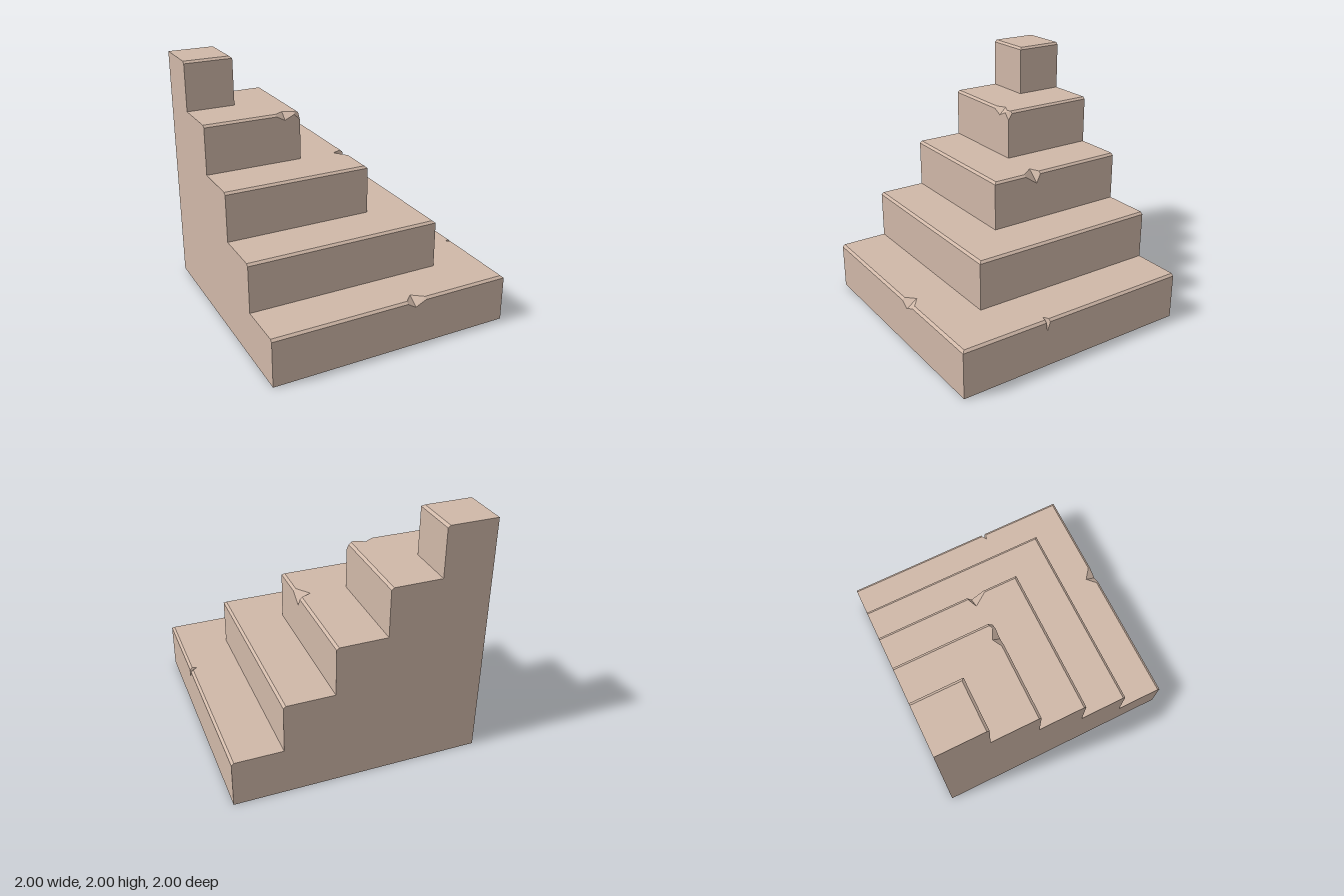
import * as THREE from 'three';

const STEPS = 5, RUN = 0.4, BEVEL = 0.02, DROP = 0.017;
const edge = i => 1 - RUN * i;                       // outer face of a step, same on x and z
const topOf = i => (i < 0 ? 0 : i === STEPS - 1 ? 1.995 : 0.39 + 0.4 * i);

// Chips in the step edges: [start, peak, end, depth inward, depth down]
const chips = {
  0: { front: [[0.11, 0.18, 0.27, 0.09, 0.06]], right: [[0.285, 0.275, 0.25, 0.06, 0.09]] },
  2: { right: [[-0.09, -0.2, -0.235, 0.1, 0.09]] },
  3: { front: [[-0.4, -0.33, -0.25, 0.06, 0.055]], corner: [0.027, 0.07] },
};

// Stations [position, inset, drop] along one edge
const stations = (list = []) => list.flatMap(([a, p, b, inset, drop]) =>
  [[a, BEVEL, DROP], [p, inset, drop], [b, BEVEL, DROP]]);

// Flat polygon facing along one axis ('x', 'y' or 'z')
function polygon(points, axis, sign) {
  const [u, v] = { x: ['y', 'z'], y: ['z', 'x'], z: ['x', 'y'] }[axis];
  const flat = points.map(p => new THREE.Vector2(p[u], p[v]));
  const n = new THREE.Vector3();
  return THREE.ShapeUtils.triangulateShape(flat, []).flatMap(t => {
    const [a, b, c] = t.map(k => points[k]);
    n.crossVectors(b.clone().sub(a), c.clone().sub(a));
    return n[axis] * sign > 0 ? [a, b, c] : [a, c, b];
  });
}

function stepTriangles(i) {
  const e = edge(i), top = topOf(i), base = topOf(i - 1), chip = chips[i] || {};
  const V = (x, y, z) => new THREE.Vector3(x, y, z);
  const [ci, cd] = chip.corner || [BEVEL, DROP];
  const front = [[-1, BEVEL, DROP], ...stations(chip.front)];
  const right = [...stations(chip.right), [-1, BEVEL, DROP]];
  if (chip.corner) right.unshift([e - 0.035, BEVEL, DROP]);

  // Lower and upper lines of the worn edge, front left to back right
  const corner = V(e, top - cd, e);
  const frontOut = front.map(([t, , d]) => V(t, top - d, e));
  const rightOut = right.map(([t, , d]) => V(e, top - d, t));
  const outer = [...frontOut, corner, ...rightOut];
  const inner = [
    ...front.map(([t, s]) => V(t, top, e - s)),
    V(e - ci, top, e - ci),
    ...right.map(([t, s]) => V(e - s, top, t)),
  ];

  const tris = [];
  for (let k = 0; k < outer.length - 1; k++) {
    tris.push(outer[k], outer[k + 1], inner[k + 1], outer[k], inner[k + 1], inner[k]);
  }
  // Risers
  tris.push(...polygon([V(e, base, e), V(-1, base, e), ...frontOut, corner], 'z', 1));
  tris.push(...polygon([V(e, base, -1), V(e, base, e), corner, ...rightOut], 'x', 1));
  // Tread, left open beneath the next step
  const n = edge(i + 1);
  const rest = i === STEPS - 1 ? [V(-1, top, -1)] : [V(n, top, -1), V(n, top, n), V(-1, top, n)];
  tris.push(...polygon([...inner, ...rest], 'y', 1));
  return tris;
}

// Stair-shaped wall closing the back or the side
function wallTriangles(axis) {
  const P = (t, y) => (axis === 'x' ? new THREE.Vector3(-1, y, t) : new THREE.Vector3(t, y, -1));
  const pts = [P(-1, 0), P(1, 0)];
  for (let i = 0; i < STEPS; i++) {
    const e = edge(i), top = topOf(i);
    if (i > 0) pts.push(P(e, topOf(i - 1)));
    pts.push(P(e, top - DROP), P(e - BEVEL, top));
  }
  pts.push(P(-1, topOf(STEPS - 1)));
  return polygon(pts, axis, -1);
}

export function createModel() {
  const group = new THREE.Group();
  group.name = 'cornerStairs';
  const stone = new THREE.MeshStandardMaterial({ color: 0xd0b8a8, flatShading: true });
  const add = (name, tris) => {
    const geometry = new THREE.BufferGeometry().setFromPoints(tris);
    geometry.computeVertexNormals();
    const mesh = new THREE.Mesh(geometry, stone);
    mesh.name = name;
    group.add(mesh);
  };

  for (let i = 0; i < STEPS; i++) add(`step${i + 1}`, stepTriangles(i));
  add('backWall', wallTriangles('z'));
  add('sideWall', wallTriangles('x'));
  const corners = [[-1, -1], [1, -1], [1, 1], [-1, 1]].map(([x, z]) => new THREE.Vector3(x, 0, z));
  add('underside', polygon(corners, 'y', -1));
  return group;
}
